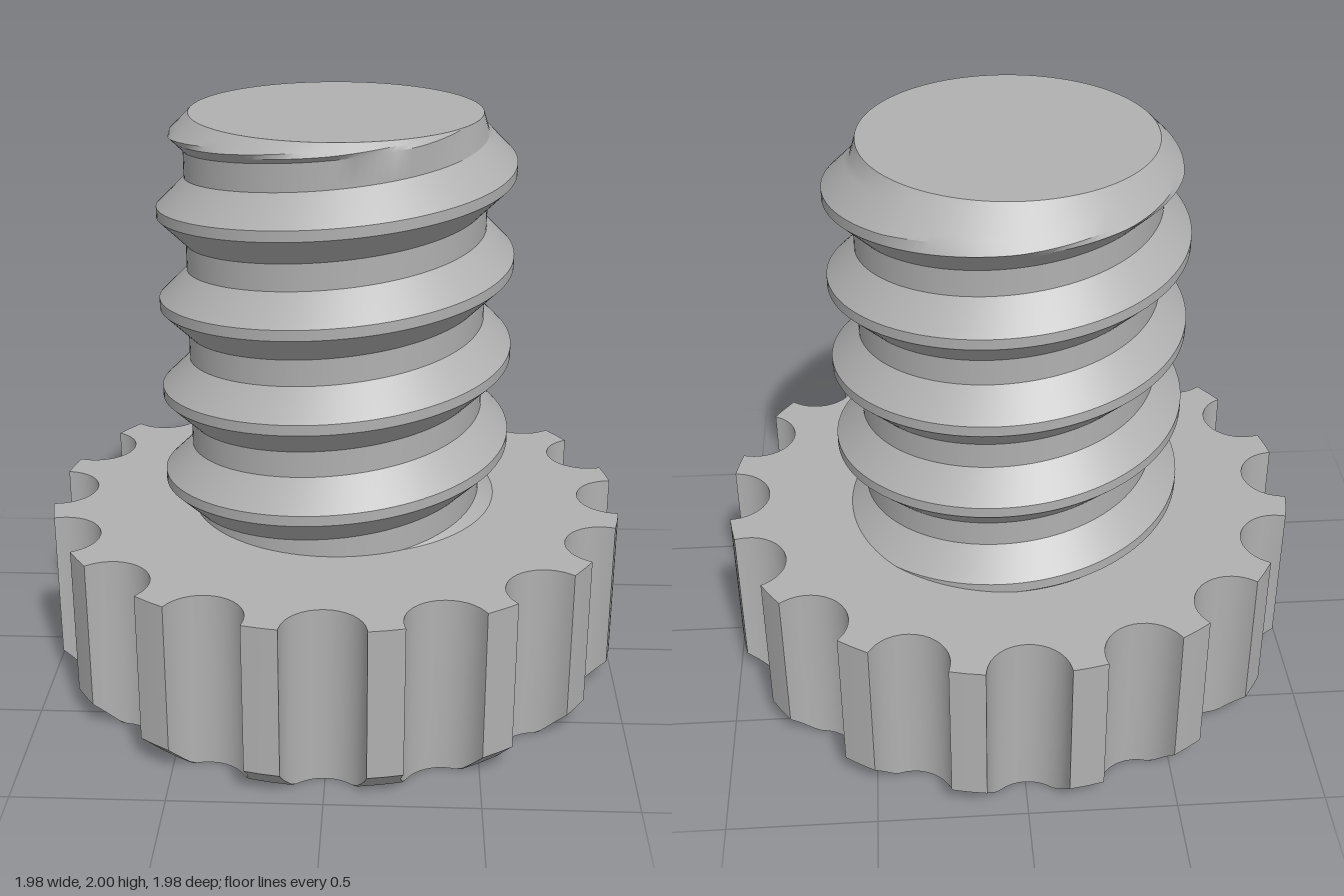
import * as THREE from 'three';
import { toCreasedNormals } from 'three/addons/utils/BufferGeometryUtils.js';

const TAU = Math.PI * 2;

// Skin neighbouring columns of points (each listed bottom to top, going round counterclockwise from above).
function skin(columns) {
  const out = [];
  const ab = new THREE.Vector3(), ac = new THREE.Vector3();
  const tri = (a, b, c) => {
    ab.subVectors(b, a);
    ac.subVectors(c, a);
    if (ab.cross(ac).length() < 1e-9) return;
    for (const p of [a, b, c]) out.push(p.x, p.y, p.z);
  };
  for (let i = 0; i < columns.length - 1; i++) {
    const l = columns[i], r = columns[i + 1];
    for (let j = 0; j < l.length - 1; j++) {
      tri(l[j], r[j], r[j + 1]);
      tri(l[j], r[j + 1], l[j + 1]);
    }
  }
  const g = new THREE.BufferGeometry();
  g.setAttribute('position', new THREE.Float32BufferAttribute(out, 3));
  return toCreasedNormals(g, 0.5);
}

const polar = (angle, r, y) => new THREE.Vector3(r * Math.cos(angle), y, -r * Math.sin(angle));

// Fluted knob with a 45 degree chamfer round its lower rim
function knobGeometry() {
  const flutes = 16, R = 1, fluteR = 0.136, fluteC = 0.995, height = 0.62, rim = 0.905;
  const edge = Math.asin(fluteR / fluteC), tMax = Math.acos(fluteR / fluteC), steps = 16;
  const outline = [];
  for (let k = 0; k < flutes; k++) {
    const mid = (k / flutes) * TAU;
    for (let s = 0; s <= steps; s++) {
      const t = tMax * (2 * s / steps - 1);
      const u = fluteC - fluteR * Math.cos(t), v = fluteR * Math.sin(t);
      outline.push([mid + Math.atan2(v, u), Math.hypot(u, v)]);
    }
    // tip of the tooth
    const gap = TAU / flutes - 2 * edge;
    for (const f of [0, 0.5, 1]) outline.push([mid + edge + f * gap, R]);
  }
  outline.push(outline[0]);
  return skin(outline.map(([a, r]) => [
    polar(a, 0, 0),
    polar(a, Math.min(r, rim), 0),
    polar(a, r, Math.max(0, r - rim)),
    polar(a, r, height),
    polar(a, 0, height),
  ]));
}

// Right-handed screw thread, trimmed by a 45 degree cone at the tip
function threadGeometry() {
  const pitch = 0.316, crestR = 0.6, rootR = 0.505, tipR = 0.485;
  const flat = 0.018, foot = flat + crestR - rootR;
  const base = 0.6, top = 2, crest0 = 0.877, segments = 120, sub = 6;

  // offsets from the crest along one turn of the thread
  const offsets = [];
  for (let s = 0; s <= sub; s++) offsets.push(-foot + (foot - flat) * s / sub);
  offsets.push(...offsets.map(o => -o).reverse());

  const columns = [];
  for (let i = 0; i <= segments; i++) {
    const angle = (i / segments) * TAU, column = [];
    for (let k = -2; k <= 4; k++) {
      const crest = crest0 + pitch * (k + i / segments);
      for (const o of offsets) {
        const y = THREE.MathUtils.clamp(crest + o, base, top);
        const turns = (y - crest) / pitch;
        const d = Math.abs(turns - Math.round(turns)) * pitch;
        const r = THREE.MathUtils.clamp(crestR - (d - flat), rootR, crestR);
        column.push(polar(angle, Math.min(r, tipR + top - y), y));
      }
    }
    column.push(polar(angle, 0, top));
    columns.push(column);
  }
  return skin(columns);
}

export function createModel() {
  const grey = new THREE.MeshStandardMaterial({ color: 0xb0b0b0 });
  grey.name = 'grey';
  const model = new THREE.Group();
  model.name = 'thumbScrew';
  const add = (name, geometry) => {
    const mesh = new THREE.Mesh(geometry, grey);
    mesh.name = name;
    model.add(mesh);
  };
  add('flutedKnob', knobGeometry());
  add('threadedShaft', threadGeometry());
  return model;
}
